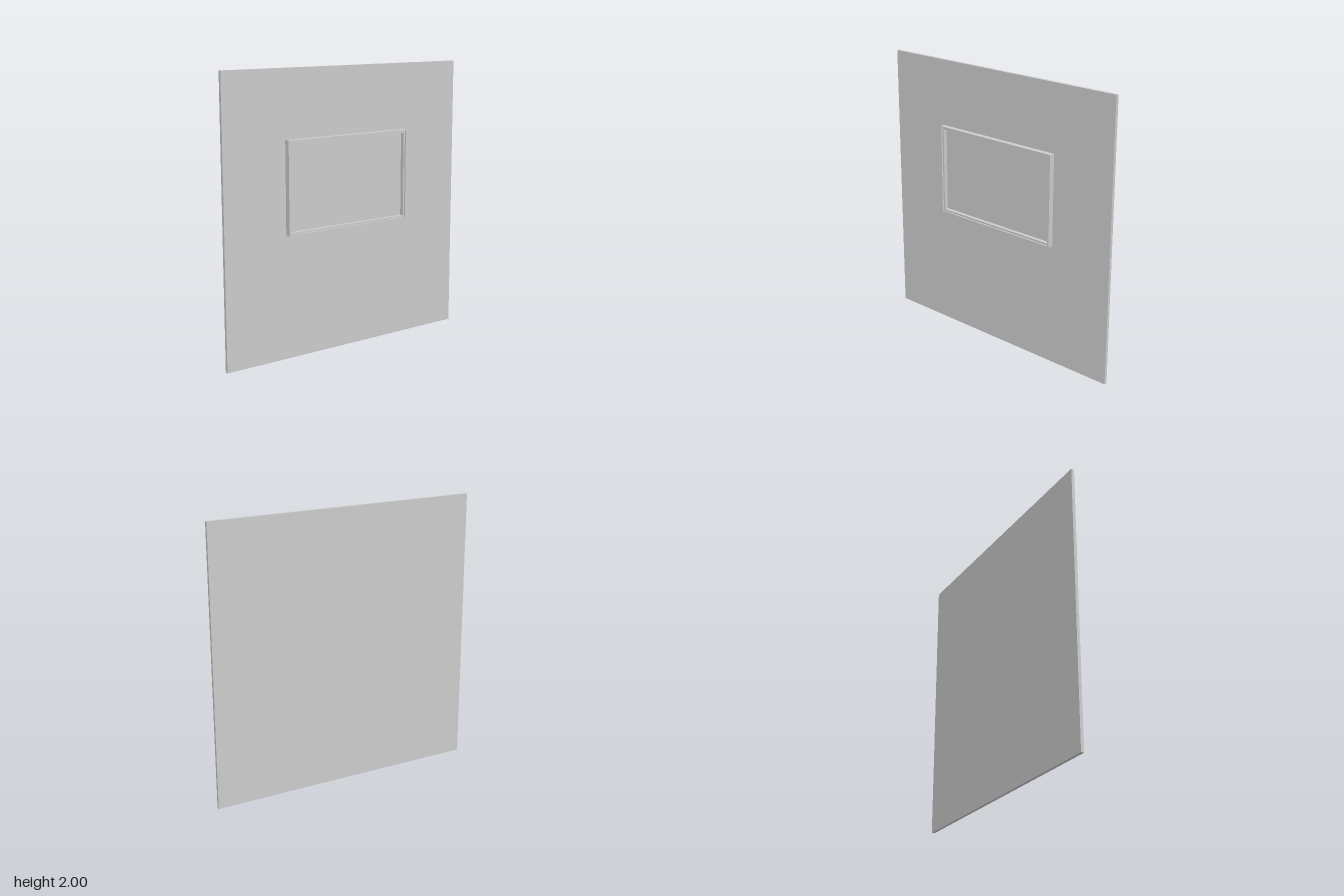
import * as THREE from 'three';

const material = new THREE.MeshStandardMaterial({ color: 0xcccccc });
const centerY = 1.197;

// Clockwise or counter-clockwise rectangle traced into a Shape or Path
function rectangle(target, halfW, halfH) {
  return target.moveTo(-halfW, -halfH).lineTo(halfW, -halfH)
    .lineTo(halfW, halfH).lineTo(-halfW, halfH).closePath();
}

// Rectangular ring standing on depth z
function ring(name, outer, inner, z, depth) {
  const shape = rectangle(new THREE.Shape(), ...outer);
  shape.holes.push(rectangle(new THREE.Path(), ...inner));
  const geometry = new THREE.ExtrudeGeometry(shape, { depth, bevelEnabled: false });
  const mesh = new THREE.Mesh(geometry, material);
  mesh.name = name;
  mesh.position.set(0, centerY, z);
  return mesh;
}

export function createModel() {
  const model = new THREE.Group();
  model.name = 'framedWallPanel';

  // Thin square wall panel
  const panel = new THREE.Mesh(new THREE.BoxGeometry(2, 2, 0.022), material);
  panel.name = 'wallPanel';
  panel.position.set(0, 1, -0.02);
  model.add(panel);

  // Frame: deep inner ledge with a narrow raised rim around it
  const frame = new THREE.Group();
  frame.name = 'frame';
  const outer = [0.516, 0.327];
  frame.add(ring('frameLedge', outer, [0.494, 0.304], -0.009, 0.029));
  frame.add(ring('frameRim', outer, [0.506, 0.317], 0.02, 0.011));
  model.add(frame);

  return model;
}
